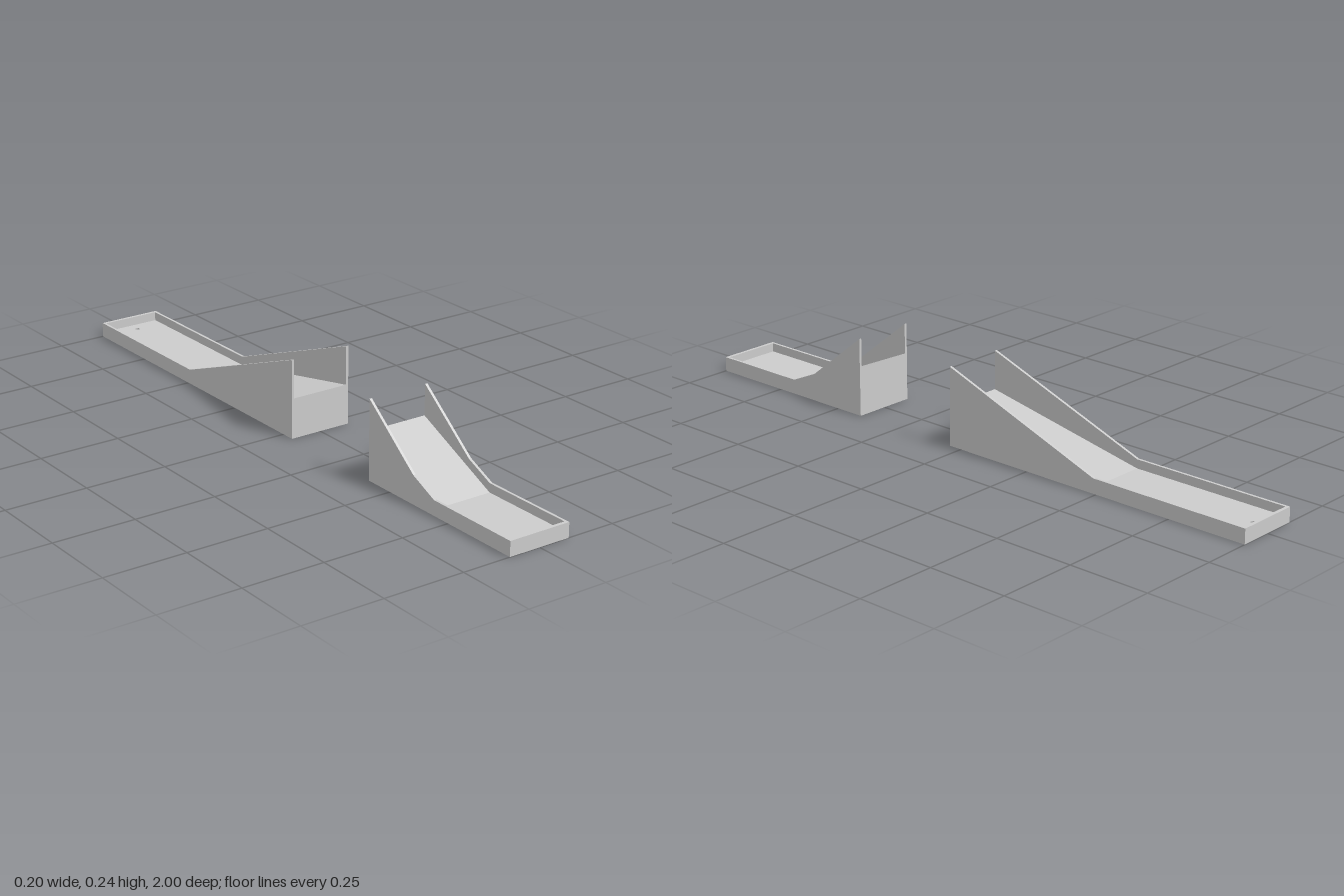
import * as THREE from 'three';

const HALF = 0.099;   // half the outer width
const WALL = 0.008;   // wall thickness
const RIM = 0.045;    // low wall height
const BED = 0.018;    // height of the flat bed
const INNER = HALF - WALL;

const material = new THREE.MeshStandardMaterial({ color: 0xcccccc, flatShading: true });

function addMesh(group, name, geometry) {
  const mesh = new THREE.Mesh(geometry, material);
  mesh.name = name;
  group.add(mesh);
}

// Extrudes a side profile of [z, y] points across x, from x0 to x1
function sideExtrude(points, x0, x1) {
  const shape = new THREE.Shape(points.map(([z, y]) => new THREE.Vector2(z, y)));
  const geometry = new THREE.ExtrudeGeometry(shape, { depth: x1 - x0, bevelEnabled: false });
  return geometry.rotateY(-Math.PI / 2).translate(x1, 0, 0);
}

// Two matching side walls
function addSideWalls(group, profile) {
  addMesh(group, 'leftWall', sideExtrude(profile, INNER, HALF));
  addMesh(group, 'rightWall', sideExtrude(profile, -HALF, -INNER));
}

function addEndWall(group, z) {
  const box = new THREE.BoxGeometry(2 * INNER, RIM, WALL + 0.002);
  addMesh(group, 'endWall', box.translate(0, RIM / 2, z));
}

// Launch section: flat start and a steep ramp
function createLaunch() {
  const group = new THREE.Group();
  group.name = 'launchRamp';
  addSideWalls(group, [[1, 0], [1, RIM], [0.69, RIM], [0.6, 0.085], [0.405, 0.24], [0.405, 0]]);
  addMesh(group, 'rampBed', sideExtrude(
    [[0.99, 0], [0.99, BED], [0.69, BED], [0.405, 0.147], [0.405, 0]], -INNER, INNER));
  addEndWall(group, 0.995);
  return group;
}

// Landing section: gentle ramp down to a flat bed with a cup
function createLanding() {
  const group = new THREE.Group();
  group.name = 'landingRamp';
  addSideWalls(group, [[0.042, 0], [0.042, 0.24], [-0.49, RIM], [-1, RIM], [-1, 0]]);
  addMesh(group, 'rampBed', sideExtrude(
    [[0.042, 0], [0.042, 0.122], [-0.49, BED], [-0.49, 0]], -INNER, INNER));

  // Flat bed, drawn in x and -z, pierced by the cup
  const floor = 0.003;
  const shape = new THREE.Shape([
    new THREE.Vector2(-INNER, 0.49), new THREE.Vector2(INNER, 0.49),
    new THREE.Vector2(INNER, 0.99), new THREE.Vector2(-INNER, 0.99),
  ]);
  const cup = new THREE.Path();
  cup.absarc(0, 0.953, 0.008, 0, Math.PI * 2, true);
  shape.holes.push(cup);
  const bed = new THREE.ExtrudeGeometry(shape, {
    depth: BED - floor, bevelEnabled: false, curveSegments: 16,
  });
  addMesh(group, 'flatBed', bed.rotateX(-Math.PI / 2).translate(0, floor, 0));
  addMesh(group, 'basePlate',
    new THREE.BoxGeometry(2 * INNER, floor, 0.5).translate(0, floor / 2, -0.74));
  addEndWall(group, -0.995);
  return group;
}

export function createModel() {
  const model = new THREE.Group();
  model.name = 'jumpRampCourse';
  model.add(createLaunch(), createLanding());
  return model;
}
